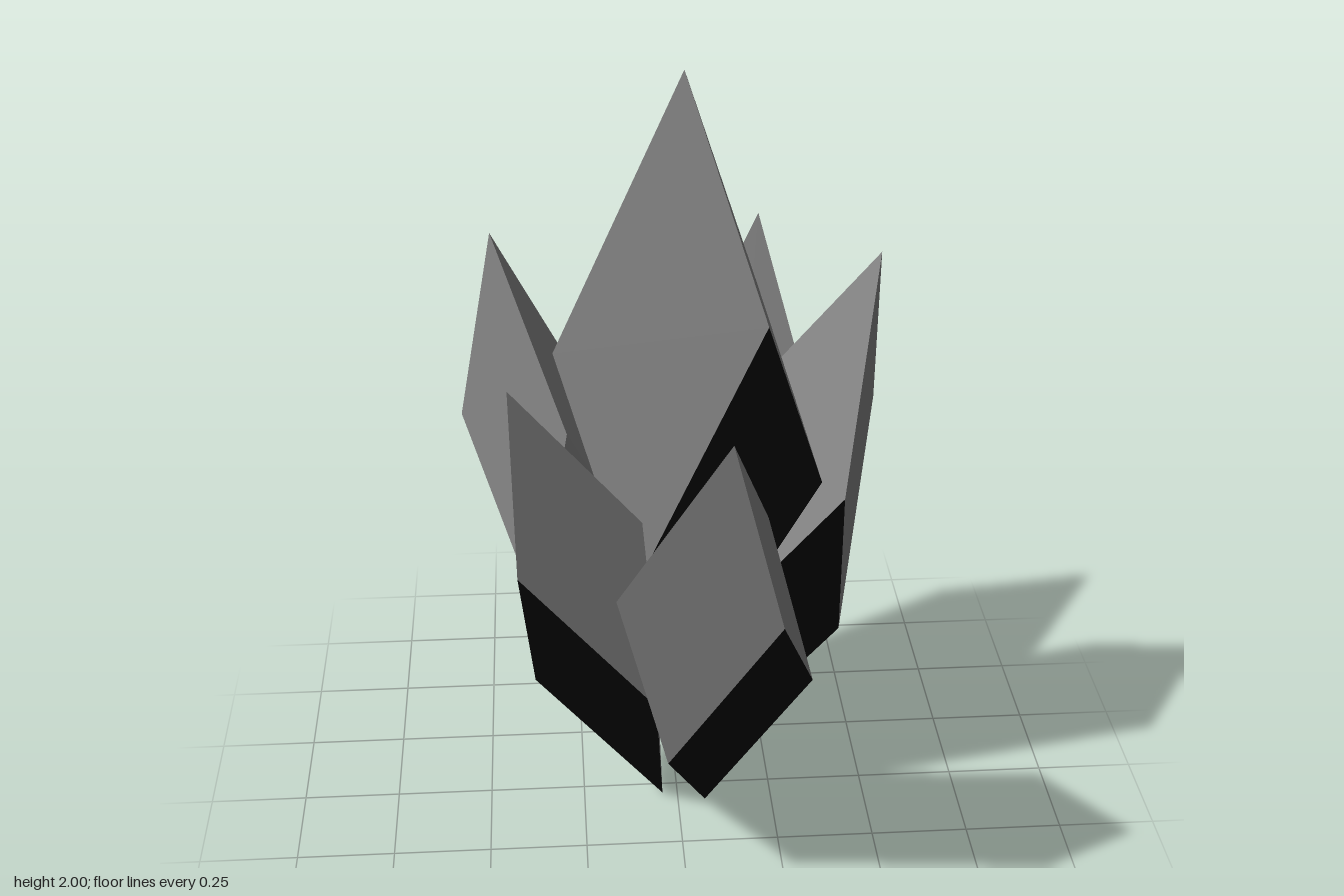
import * as THREE from 'three';

// Each crystal is a slanted block: its tip and the three edges running down from it.
// The far ends of the first two edges carry the dark undersides.
const crystals = [
  { name: 'centreCrystal', tip: [0.02, 2.0, -0.02], edges: [[0.18, -0.54, 0.24], [-0.32, -0.71, -0.01], [0.20, -0.63, -0.21]] },
  { name: 'frontCrystal', tip: [0.08, 1.39, 0.66], edges: [[0.12, -0.47, 0], [-0.25, -0.51, -0.20], [0.12, -0.39, -0.36]] },
  { name: 'frontRightCrystal', tip: [-0.41, 1.30, 0.19], edges: [[0.01, -0.43, 0.14], [0.03, -0.48, -0.28], [0.33, -0.39, -0.01]] },
  { name: 'backRightCrystal', tip: [-0.45, 1.47, -0.37], edges: [[-0.09, -0.47, 0.08], [0.27, -0.54, -0.06], [0.18, -0.43, 0.29]] },
  { name: 'backCrystal', tip: [0.26, 1.41, -0.61], edges: [[-0.12, -0.46, -0.06], [0.14, -0.51, 0.28], [-0.26, -0.42, 0.23]] },
  { name: 'leftCrystal', tip: [0.52, 1.48, -0.16], edges: [[0.02, -0.47, -0.14], [-0.11, -0.54, 0.28], [-0.33, -0.43, -0.08]] },
];

// Shears a unit box, cornered at the origin, onto the three edges
function crystalGeometry(edges) {
  const basis = new THREE.Matrix4().makeBasis(...edges.map((e) => new THREE.Vector3(...e)));
  return new THREE.BoxGeometry(1, 1, 1).translate(0.5, 0.5, 0.5).applyMatrix4(basis);
}

function namedMaterial(name, color) {
  const material = new THREE.MeshStandardMaterial({ color, flatShading: true });
  material.name = name;
  return material;
}

export function createModel() {
  const grey = namedMaterial('greyStone', 0x808080);
  const black = namedMaterial('blackStone', 0x060606);
  // Box face order: +x, -x, +y, -y, +z, -z
  const faces = [black, grey, black, grey, grey, grey];

  const cluster = new THREE.Group();
  cluster.name = 'crystalCluster';
  for (const { name, tip, edges } of crystals) {
    const crystal = new THREE.Mesh(crystalGeometry(edges), faces);
    crystal.name = name;
    crystal.position.set(...tip);
    cluster.add(crystal);
  }
  return cluster;
}
